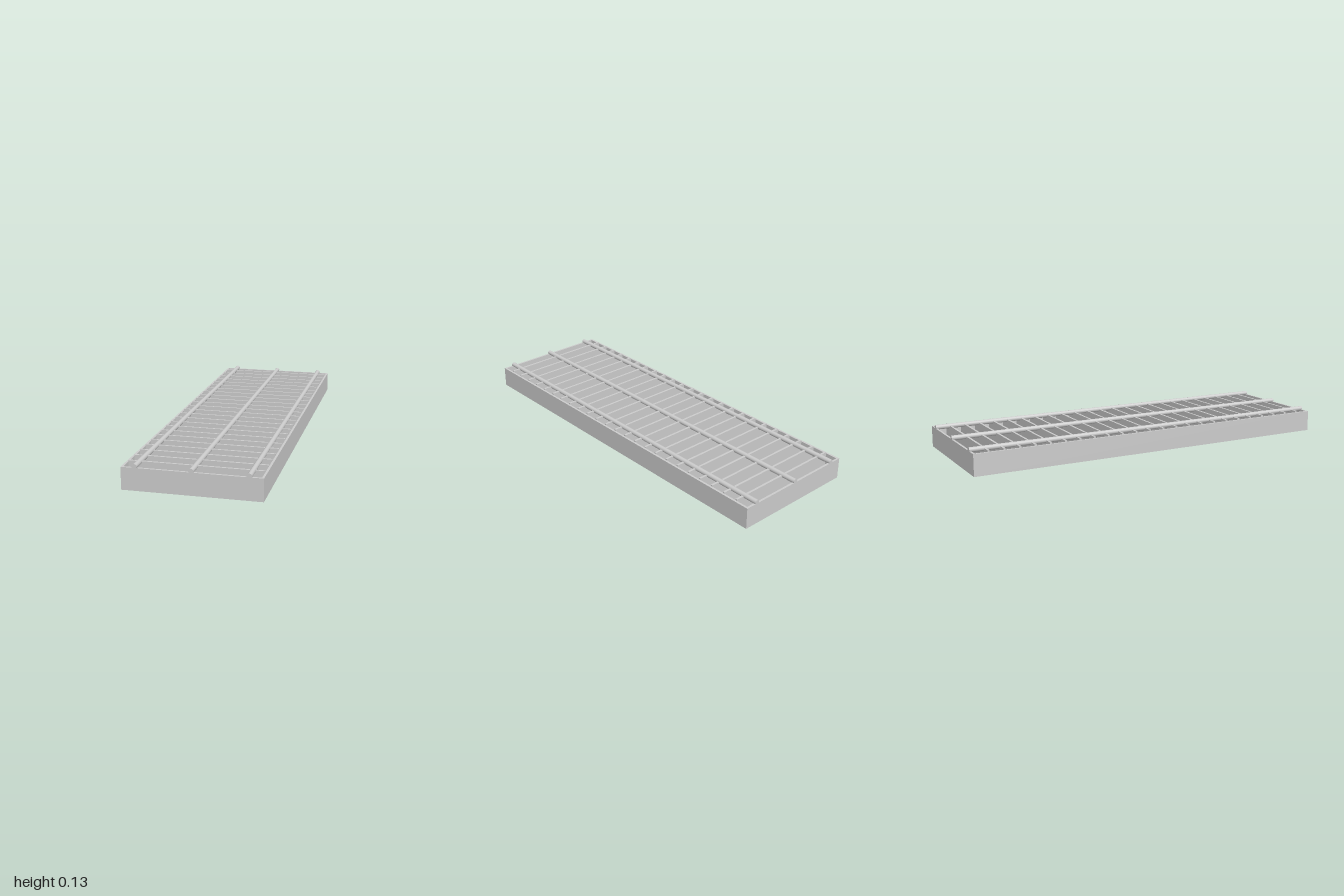
import * as THREE from 'three';

const W = 0.666, H = 0.111, L = 2, T = 0.011;

export function createModel() {
  const model = new THREE.Group();
  model.name = 'grating';
  const material = new THREE.MeshStandardMaterial({ color: 0xcccccc });

  const add = (name, geometry, x, y, z, parent) => {
    const mesh = new THREE.Mesh(geometry, material);
    mesh.name = name;
    mesh.position.set(x, y, z);
    parent.add(mesh);
    return mesh;
  };
  const group = (name) => {
    const g = new THREE.Group();
    g.name = name;
    model.add(g);
    return g;
  };

  // Outer frame: two long side plates and two end plates, open above and below
  const frame = group('frame');
  const side = new THREE.BoxGeometry(T, H, L);
  const end = new THREE.BoxGeometry(W - 2 * T, H, T);
  for (const s of [-1, 1]) {
    add(s > 0 ? 'leftPlate' : 'rightPlate', side, s * (W - T) / 2, H / 2, 0, frame);
    add(s > 0 ? 'frontPlate' : 'backPlate', end, 0, H / 2, s * (L - T) / 2, frame);
  }

  // Upright cross slats, standing slightly proud of the frame
  const slats = group('slats');
  const slatH = 0.118;
  const slat = new THREE.BoxGeometry(W - 2 * T, slatH, T);
  for (let i = 0; i < 24; i++) add('slat', slat, 0, slatH / 2, -0.92 + i * 0.08, slats);

  // Three round rods running the full length across the slats
  const rods = group('rods');
  const rod = new THREE.CylinderGeometry(0.0125, 0.0125, L, 24).rotateX(Math.PI / 2);
  for (const x of [-0.267, 0, 0.267]) add('rod', rod, x, 0.1165, 0, rods);

  return model;
}
